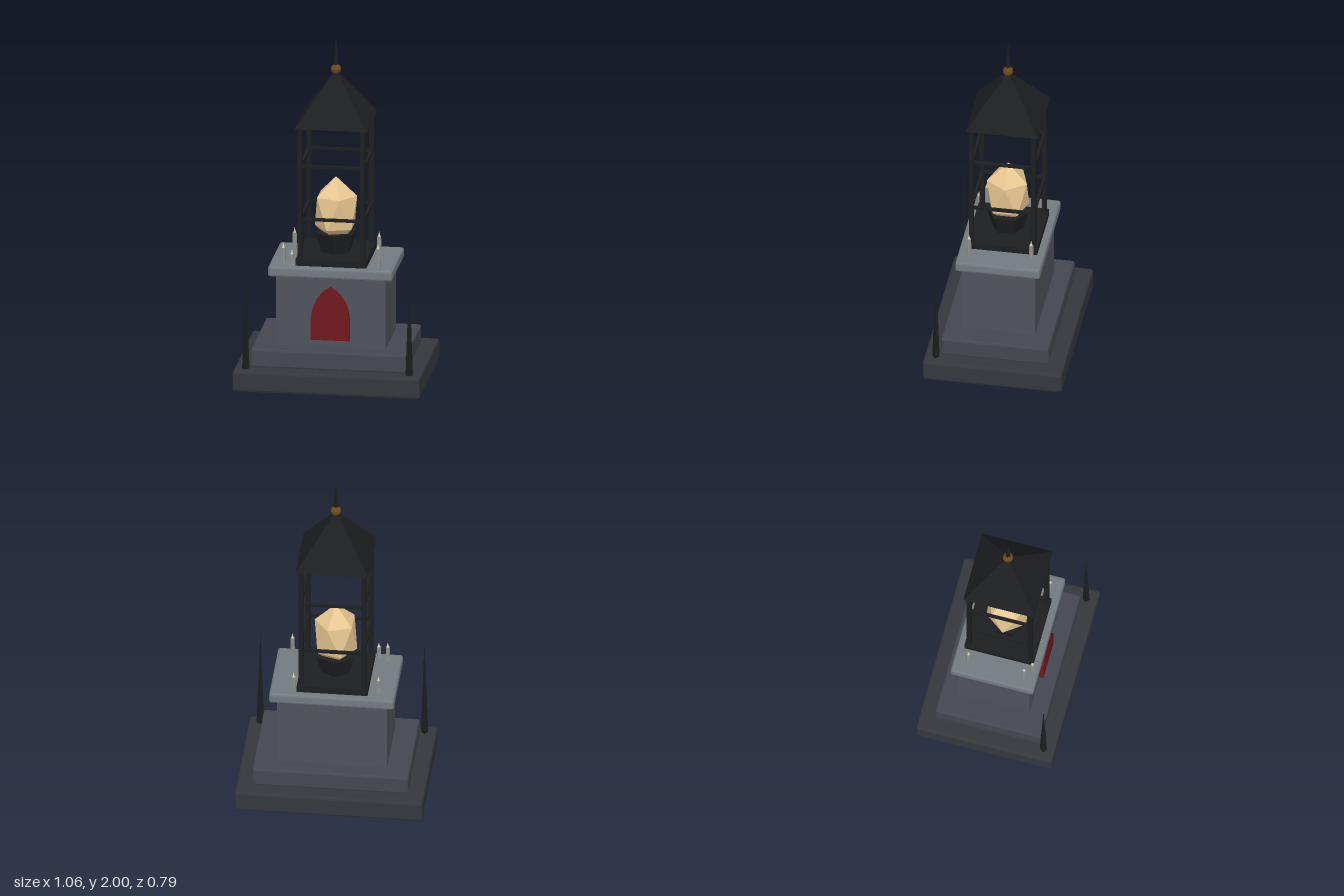
import * as THREE from 'three';
import { RoundedBoxGeometry } from 'three/addons/geometries/RoundedBoxGeometry.js';

const mat = (color) => {
  const m = new THREE.MeshStandardMaterial({ color });
  m.flatShading = true;
  return m;
};

export function createModel() {
  const root = new THREE.Group();
  const darkStone = mat(0x34373c), midStone = mat(0x444750), wallStone = mat(0x50535b);
  const paleStone = mat(0x737a80), iron = mat(0x1c1e20), red = mat(0x70181e);
  const bronze = mat(0x6b4a1e), glow = mat(0xe8c792), wax = mat(0x8f8f8c), wick = mat(0xead9b0);

  const add = (name, geometry, material, x = 0, y = 0, z = 0, parent = root) => {
    const mesh = new THREE.Mesh(geometry, material);
    mesh.name = name;
    mesh.position.set(x, y, z);
    parent.add(mesh);
    return mesh;
  };
  // Chamfered slab spanning y0..y1
  const slab = (name, w, d, y0, y1, bevel, material) =>
    add(name, new RoundedBoxGeometry(w, y1 - y0, d, 1, bevel), material, 0, (y0 + y1) / 2, 0);

  // Stepped pedestal
  slab('basePlinth', 1.06, 0.79, 0, 0.123, 0.015, darkStone);
  slab('upperStep', 0.88, 0.612, 0.121, 0.229, 0.012, midStone);
  add('pedestalBody', new THREE.BoxGeometry(0.62, 0.42, 0.416), wallStone, 0, 0.435, 0);
  slab('pedestalCap', 0.704, 0.482, 0.637, 0.697, 0.012, paleStone);

  // Pointed arch panel on the front
  const arch = new THREE.Shape();
  arch.moveTo(-0.11, 0.277);
  arch.lineTo(0.11, 0.277);
  arch.lineTo(0.11, 0.39);
  arch.quadraticCurveTo(0.105, 0.525, 0, 0.585);
  arch.quadraticCurveTo(-0.105, 0.525, -0.11, 0.39);
  arch.closePath();
  add('archPanel', new THREE.ExtrudeGeometry(arch, { depth: 0.035, bevelEnabled: false, curveSegments: 6 }),
    red, 0, 0, 0.2);

  // Lantern cage: floor, four posts and two rings of rails
  const lantern = new THREE.Group();
  lantern.name = 'lantern';
  root.add(lantern);
  add('lanternFloor', new THREE.BoxGeometry(0.4, 0.042, 0.4), iron, 0, 0.716, 0, lantern);
  const post = 0.177;
  for (const sx of [-1, 1]) {
    for (const sz of [-1, 1]) {
      add('lanternPost', new THREE.BoxGeometry(0.026, 0.8, 0.026), iron, sx * post, 1.1, sz * post, lantern);
    }
  }
  for (const y of [0.965, 1.275]) {
    for (const s of [-1, 1]) {
      add('lanternRail', new THREE.BoxGeometry(0.354, 0.016, 0.016), iron, 0, y, s * post, lantern);
      add('lanternRail', new THREE.BoxGeometry(0.016, 0.016, 0.354), iron, s * post, y, 0, lantern);
    }
  }

  // Roof with finial
  add('roof', new THREE.ConeGeometry(0.205 * Math.SQRT2, 0.3, 4), iron, 0, 1.648, 0, lantern)
    .rotation.y = Math.PI / 4;
  add('finialBall', new THREE.IcosahedronGeometry(0.03, 1), bronze, 0, 1.8, 0, lantern);
  add('finialSpike', new THREE.ConeGeometry(0.017, 0.2, 4), iron, 0, 1.9, 0, lantern);

  // Six-sided fire bowl
  add('fireBowl', new THREE.CylinderGeometry(0.122, 0.09, 0.114, 6), iron, 0, 0.793, 0, lantern);

  // Faceted flame: two staggered five-point rings between two tips
  const points = [0, 1.17, 0];
  for (let ring = 0; ring < 2; ring++) {
    for (let i = 0; i < 5; i++) {
      const a = ((i + ring / 2) * 2 * Math.PI) / 5;
      points.push(0.12 * Math.cos(a), ring ? 0.88 : 1.06, 0.12 * Math.sin(a));
    }
  }
  points.push(0, 0.77, 0);
  const faces = [];
  for (let i = 0; i < 5; i++) {
    const u = 1 + i, un = 1 + ((i + 1) % 5), l = 6 + i, ln = 6 + ((i + 1) % 5);
    faces.push(0, un, u, u, un, l, un, ln, l, l, ln, 11);
  }
  const flame = new THREE.BufferGeometry();
  flame.setAttribute('position', new THREE.Float32BufferAttribute(points, 3));
  flame.setIndex(faces);
  flame.computeVertexNormals();
  add('flame', flame, glow, 0, 0, 0, lantern);

  // Candles on the cap: x, z, top height
  const candles = [
    [-0.257, -0.16, 0.81], [0.22, -0.17, 0.805], [-0.274, 0.167, 0.82],
    [-0.22, 0.202, 0.795], [0.264, 0.176, 0.838],
  ];
  for (const [x, z, top] of candles) {
    const h = top - 0.03 - 0.69;
    add('candle', new THREE.CylinderGeometry(0.012, 0.014, h, 6), wax, x, 0.69 + h / 2, z);
    add('candleFlame', new THREE.ConeGeometry(0.008, 0.032, 5), wick, x, top - 0.016, z);
  }

  // Tall spikes at the front corners
  for (const s of [-1, 1]) {
    add('cornerSpike', new THREE.ConeGeometry(0.021, 0.613, 4), iron, s * 0.463, 0.427, 0.33);
  }
  return root;
}
